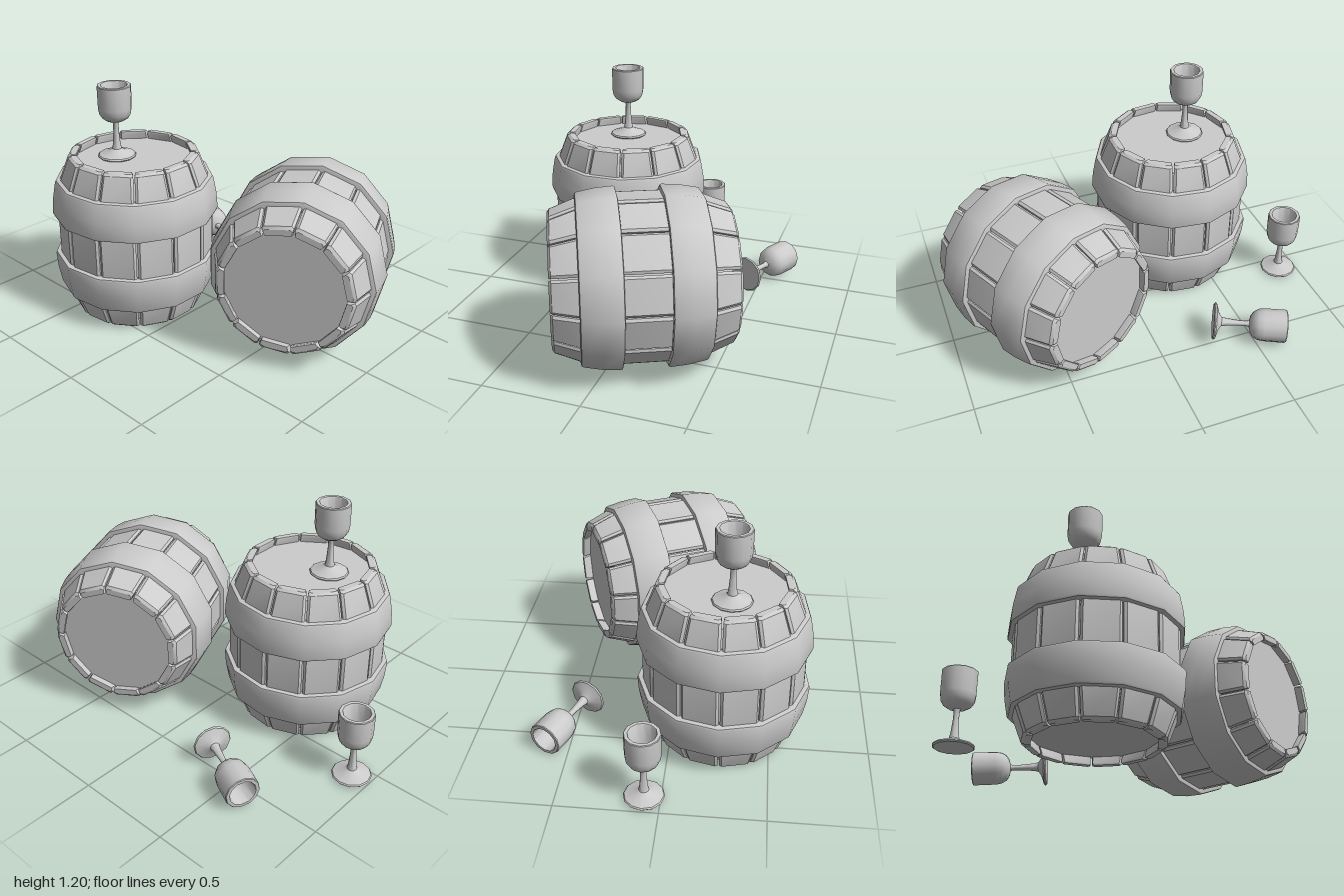
import * as THREE from 'three';
import { toCreasedNormals } from 'three/addons/utils/BufferGeometryUtils.js';

const SIDES = 13;
const material = new THREE.MeshStandardMaterial({ color: 0xcccccc });

function mesh(name, geometry) {
  const m = new THREE.Mesh(geometry, material);
  m.name = name;
  return m;
}

function lathe(points, segments, start = 0) {
  const profile = points.map(([r, y]) => new THREE.Vector2(r, y));
  return toCreasedNormals(new THREE.LatheGeometry(profile, segments, start), 0.62);
}

// One bevelled plank, lofted along the bulging barrel profile
function staveGeometry() {
  const half = Math.PI / SIDES, bevel = 0.011, gap = 0.006, thickness = 0.045;
  // y, corner radius, shrink at the rounded ends
  const rows = [
    [-0.43, 0.338, 0.01], [-0.419, 0.342, 0], [-0.3, 0.388, 0], [-0.11, 0.41, 0],
    [0.11, 0.41, 0], [0.3, 0.388, 0], [0.419, 0.342, 0], [0.43, 0.338, 0.01],
  ];
  const positions = [], index = [], n = 6;
  for (const [y, radius, shrink] of rows) {
    const out = radius * Math.cos(half) - shrink;
    const inner = radius * Math.cos(half) - thickness + shrink * 0.5;
    const w = radius * Math.sin(half) - gap - shrink * 0.6;
    const wi = w * inner / out;
    const section = [[-w, out - bevel], [-w + bevel, out], [w - bevel, out],
      [w, out - bevel], [wi, inner], [-wi, inner]];
    for (const [x, z] of section) positions.push(x, y, z);
  }
  for (let j = 0; j < rows.length - 1; j++) {
    for (let i = 0; i < n; i++) {
      const a = j * n + i, b = j * n + (i + 1) % n;
      index.push(a, b, b + n, a, b + n, a + n);
    }
  }
  const top = (rows.length - 1) * n;
  for (let k = 1; k < n - 1; k++) {
    index.push(0, k + 1, k, top, top + k, top + k + 1);
  }
  const g = new THREE.BufferGeometry();
  g.setAttribute('position', new THREE.Float32BufferAttribute(positions, 3));
  g.setIndex(index);
  return toCreasedNormals(g, 0.5);
}

// Barrel centred on its own origin, axis along y
function createBarrel(name) {
  const barrel = new THREE.Group();
  barrel.name = name;

  // Inner body, whose flat ends are the recessed lids
  barrel.add(mesh('lids', lathe(
    [[0, -0.385], [0.325, -0.385], [0.365, -0.25], [0.385, -0.1],
      [0.385, 0.1], [0.365, 0.25], [0.325, 0.385], [0, 0.385]], SIDES, Math.PI)));

  const plank = staveGeometry();
  for (let i = 0; i < SIDES; i++) {
    const stave = mesh('stave', plank);
    stave.rotation.y = Math.PI + (i + 0.5) * 2 * Math.PI / SIDES;
    barrel.add(stave);
  }

  // Two wide hoops, mirrored top and bottom
  const band = [[0.38, 0.105], [0.422, 0.105], [0.431, 0.108], [0.434, 0.118], [0.428, 0.2],
    [0.412, 0.287], [0.407, 0.297], [0.397, 0.301], [0.36, 0.301], [0.38, 0.105]];
  const mirrored = band.map(([r, y]) => [r, -y]).reverse();
  barrel.add(mesh('upperHoop', lathe(band, SIDES, Math.PI)));
  barrel.add(mesh('lowerHoop', lathe(mirrored, SIDES, Math.PI)));
  return barrel;
}

// Goblet standing on its own origin
function createGoblet(name) {
  return mesh(name, lathe([
    [0, 0], [0.094, 0], [0.1, 0.007], [0.095, 0.014], [0.045, 0.03], [0.025, 0.044],
    [0.02, 0.07], [0.015, 0.13], [0.014, 0.175], [0.018, 0.19], [0.045, 0.197],
    [0.068, 0.212], [0.082, 0.235], [0.087, 0.265], [0.088, 0.381], [0.085, 0.385],
    [0.069, 0.385], [0.066, 0.381], [0.064, 0.27], [0.055, 0.24], [0.035, 0.222], [0, 0.215],
  ], 12));
}

export function createModel() {
  const model = new THREE.Group();
  model.name = 'barrelsAndGoblets';

  const standing = createBarrel('standingBarrel');
  standing.position.set(-0.257, 0.43, -0.337);
  model.add(standing);

  // Barrel lying on its side, turned in plan
  const lying = createBarrel('lyingBarrel');
  lying.position.set(0.115, 0.436, 0.507);
  const axis = new THREE.Vector3(0.904, 0, -0.428).normalize();
  const up = new THREE.Vector3(0, 1, 0);
  const side = new THREE.Vector3().crossVectors(up, axis);
  lying.quaternion.setFromRotationMatrix(new THREE.Matrix4().makeBasis(up, axis, side));
  model.add(lying);

  const onBarrel = createGoblet('gobletOnBarrel');
  onBarrel.position.set(-0.29, 0.815, -0.43);
  model.add(onBarrel);

  const onFloor = createGoblet('standingGoblet');
  onFloor.position.set(0.08, 0.004, -0.9);
  model.add(onFloor);

  // Goblet lying on the ground
  const fallen = createGoblet('fallenGoblet');
  const foot = new THREE.Vector3(0.45, 0.107, -0.305);
  const mouth = new THREE.Vector3(0.605, 0.092, -0.645);
  fallen.position.copy(foot);
  fallen.quaternion.setFromUnitVectors(up, mouth.sub(foot).normalize());
  model.add(fallen);

  return model;
}
